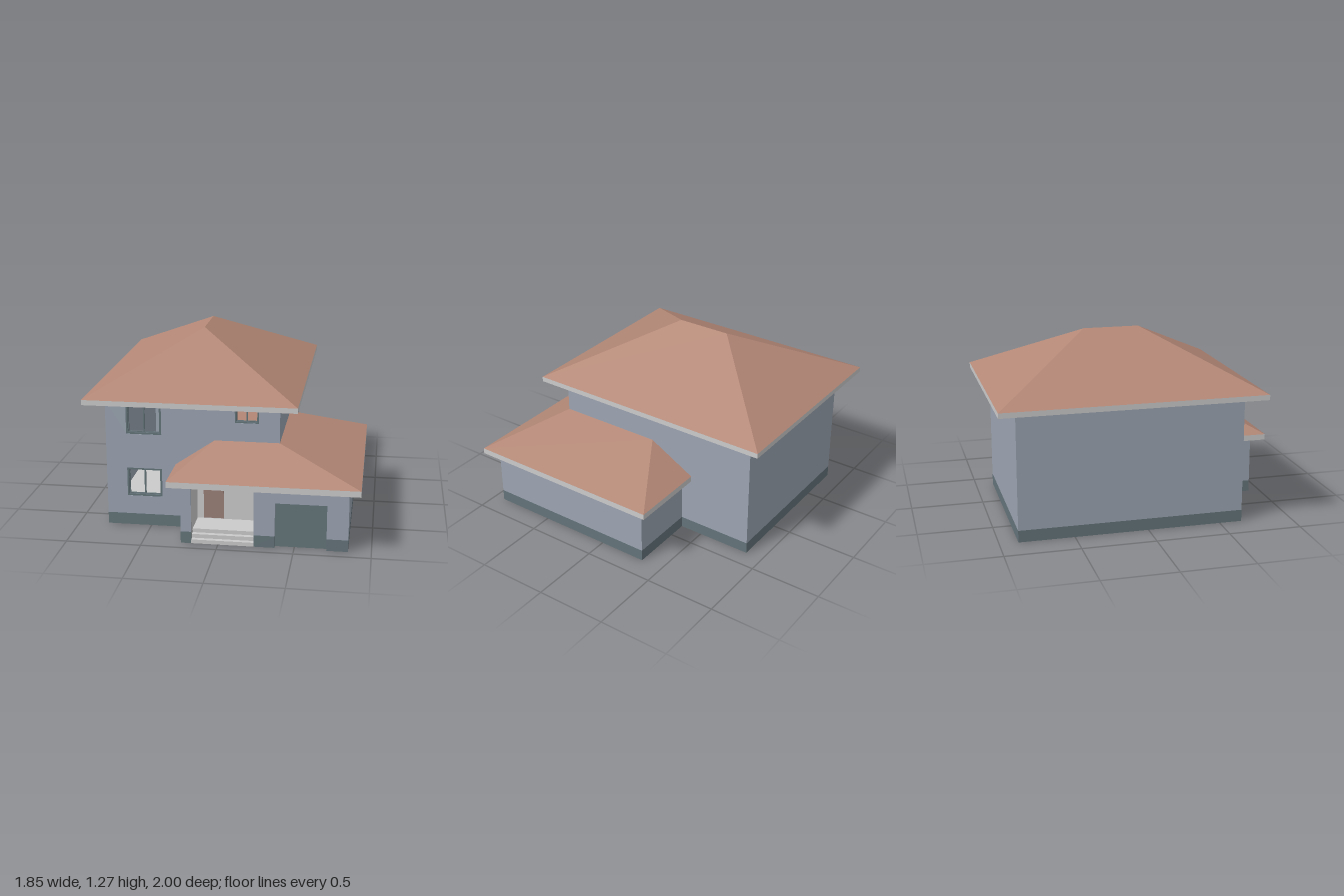
import * as THREE from 'three';

const mat = (color) => new THREE.MeshStandardMaterial({ color, flatShading: true, side: THREE.DoubleSide });

export function createModel() {
  const house = new THREE.Group();
  house.name = 'house';
  const wallMat = mat(0x9ca5b2), plinthMat = mat(0x64747a), roofMat = mat(0xb38776);
  const greyMat = mat(0xcccccc), frameMat = mat(0x64747a), doorMat = mat(0x9c8078);

  const add = (name, geometry, material, parent = house) => {
    const mesh = new THREE.Mesh(geometry, material);
    mesh.name = name;
    parent.add(mesh);
    return mesh;
  };
  // box given by its limits
  const box = (name, material, x0, x1, y0, y1, z0, z1) => {
    const g = new THREE.BoxGeometry(x1 - x0, y1 - y0, z1 - z0);
    g.translate((x0 + x1) / 2, (y0 + y1) / 2, (z0 + z1) / 2);
    return add(name, g, material);
  };
  const rect = (C, x0, x1, y0, y1) => new C([[x0, y0], [x1, y0], [x1, y1], [x0, y1]].map(p => new THREE.Vector2(...p)));
  // upright panel with rectangular openings
  const panel = (name, material, [x0, x1, y0, y1], holes, z0, z1, parent) => {
    const s = rect(THREE.Shape, x0, x1, y0, y1);
    s.holes = holes.map(h => rect(THREE.Path, ...h));
    const g = new THREE.ExtrudeGeometry(s, { depth: z1 - z0, bevelEnabled: false });
    return add(name, g.translate(0, 0, z0), material, parent);
  };
  // horizontal slab from an [x, z] outline
  const slab = (name, material, outline, y0, y1) => {
    const s = new THREE.Shape(outline.map(([x, z]) => new THREE.Vector2(x, -z)));
    const g = new THREE.ExtrudeGeometry(s, { depth: y1 - y0, bevelEnabled: false });
    return add(name, g.rotateX(-Math.PI / 2).translate(0, y0, 0), material);
  };
  // hipped roof between an eave rectangle and a top rectangle [x0, x1, z0, z1]
  const hipRoof = (name, eave, y0, top, y1) => {
    const ring = ([x0, x1, z0, z1], y) => [[x0, y, z1], [x1, y, z1], [x1, y, z0], [x0, y, z0]];
    const a = ring(eave, y0), b = ring(top, y1), pos = [];
    const quad = (p, q, r, s) => pos.push(...p, ...q, ...r, ...p, ...r, ...s);
    for (let i = 0; i < 4; i++) {
      const j = (i + 1) % 4;
      quad(a[i], a[j], b[j], b[i]);
    }
    quad(...b);
    const g = new THREE.BufferGeometry();
    g.setAttribute('position', new THREE.Float32BufferAttribute(pos, 3));
    g.computeVertexNormals();
    return add(name, g, roofMat);
  };

  // raised floor inside the plinth, notched at the garage door and the steps
  slab('floor', greyMat, [
    [-0.795, -0.87], [0.37, -0.87], [0.37, -0.335], [0.845, -0.335], [0.845, 0.915],
    [0.715, 0.915], [0.715, 0.885], [0.37, 0.885], [0.37, 0.915], [0.237, 0.915],
    [0.237, 0.855], [-0.177, 0.855], [-0.177, 0.915], [-0.245, 0.915], [-0.245, 0.65], [-0.795, 0.65],
  ], 0.07, 0.08);

  // thin walls, each on a hollow plinth: name, x0, x1, z0, z1, top
  const T = 0.01;
  const walls = [
    ['leftHouseWall', -0.8, -0.8 + T, -0.875, 0.645, 0.88],
    ['rightHouseWall', 0.375 - T, 0.375, -0.875, -0.34, 0.88],
    ['backHouseWall', -0.8 + T, 0.375 - T, -0.875, -0.875 + T, 0.88],
    ['rightWingWall', 0.85 - T, 0.85, -0.34, 0.89, 0.41],
    ['backWingWall', 0.375, 0.85 - T, -0.34, -0.34 + T, 0.41],
    ['porchSideWall', -0.247, -0.247 + T, 0.645, 0.91, 0.41],
    ['porchPillarFront', -0.247, -0.177, 0.91, 0.92, 0.41],
    ['garageFrontInner', 0.235, 0.373, 0.89, 0.92, 0.41],
    ['garageFrontOuter', 0.71, 0.85, 0.89, 0.92, 0.41],
  ];
  for (const [name, x0, x1, z0, z1, top] of walls) {
    box(name, wallMat, x0, x1, 0.08, top, z0, z1);
    box(name + 'Plinth', plinthMat, x0, x1, 0, 0.08, z0, z1);
  }
  // house wall standing above the wing
  box('rightHouseWallFront', wallMat, 0.375 - T, 0.375, 0.08, 0.88, -0.34, 0.645);

  // front wall with its window openings
  const porchWindow = [0.077, 0.218, 0.285, 0.369];
  const windows = [
    [-0.66, -0.42, 0.65, 0.86], [-0.66, -0.42, 0.21, 0.41],
    [0.075, 0.235, 0.757, 0.86], porchWindow,
  ];
  panel('frontHouseWall', wallMat, [-0.8, 0.375, 0.08, 0.88], windows, 0.645, 0.655);
  box('frontHousePlinth', plinthMat, -0.8, -0.247, 0, 0.08, 0.645, 0.655);

  // windows: outer frame and two sashes
  for (const [x0, x1, y0, y1] of windows) {
    const w = new THREE.Group();
    w.name = 'window';
    house.add(w);
    const f = (x1 - x0) * 0.05, mid = (x0 + x1) / 2, s = 0.005;
    panel('windowFrame', frameMat, [x0, x1, y0, y1], [[x0 + f, x1 - f, y0 + f, y1 - f]], 0.625, 0.653, w);
    for (const [a, b] of [[x0 + f, mid], [mid, x1 - f]]) {
      panel('windowSash', frameMat, [a, b, y0 + f, y1 - f],
        [[a + s, b - s, y0 + f + s, y1 - f - s]], 0.628, 0.64, w);
    }
  }

  // porch lining, door and steps
  panel('porchBackWall', greyMat, [-0.177, 0.235, 0.08, 0.41], [porchWindow], 0.655, 0.67);
  box('porchLeftLining', greyMat, -0.181, -0.177, 0.004, 0.41, 0.67, 0.91);
  box('porchRightLining', greyMat, 0.235, 0.239, 0.004, 0.41, 0.67, 0.89);
  box('frontDoor', doorMat, -0.133, 0.003, 0.085, 0.37, 0.67, 0.675);
  const steps = 3, rise = 0.08 / steps;
  for (let i = 0; i < steps; i++) {
    const front = 0.92 - i * 0.03;
    box('porchStep', greyMat, -0.177, 0.235, i * rise, (i + 1) * rise, front - 0.032, front);
  }

  // garage opening
  box('garageLintel', wallMat, 0.373, 0.71, 0.31, 0.41, 0.89, 0.92);
  box('garageDoor', plinthMat, 0.373, 0.71, 0, 0.31, 0.88, 0.89);

  // eave boards and hipped roofs
  box('mainEaves', greyMat, -0.925, 0.5, 0.875, 0.91, -1, 0.78);
  hipRoof('mainRoof', [-0.925, 0.5, -1, 0.78], 0.91, [-0.217, -0.217, -0.3, 0.08], 1.268);
  slab('wingEaves', greyMat, [
    [-0.325, 1], [0.925, 1], [0.925, -0.415], [0.375, -0.415], [0.375, 0.655], [-0.325, 0.655],
  ], 0.41, 0.45);
  hipRoof('wingRoof', [-0.325, 0.925, -0.415, 1], 0.45, [-0.06, 0.375, -0.09, 0.655], 0.63);

  return house;
}
